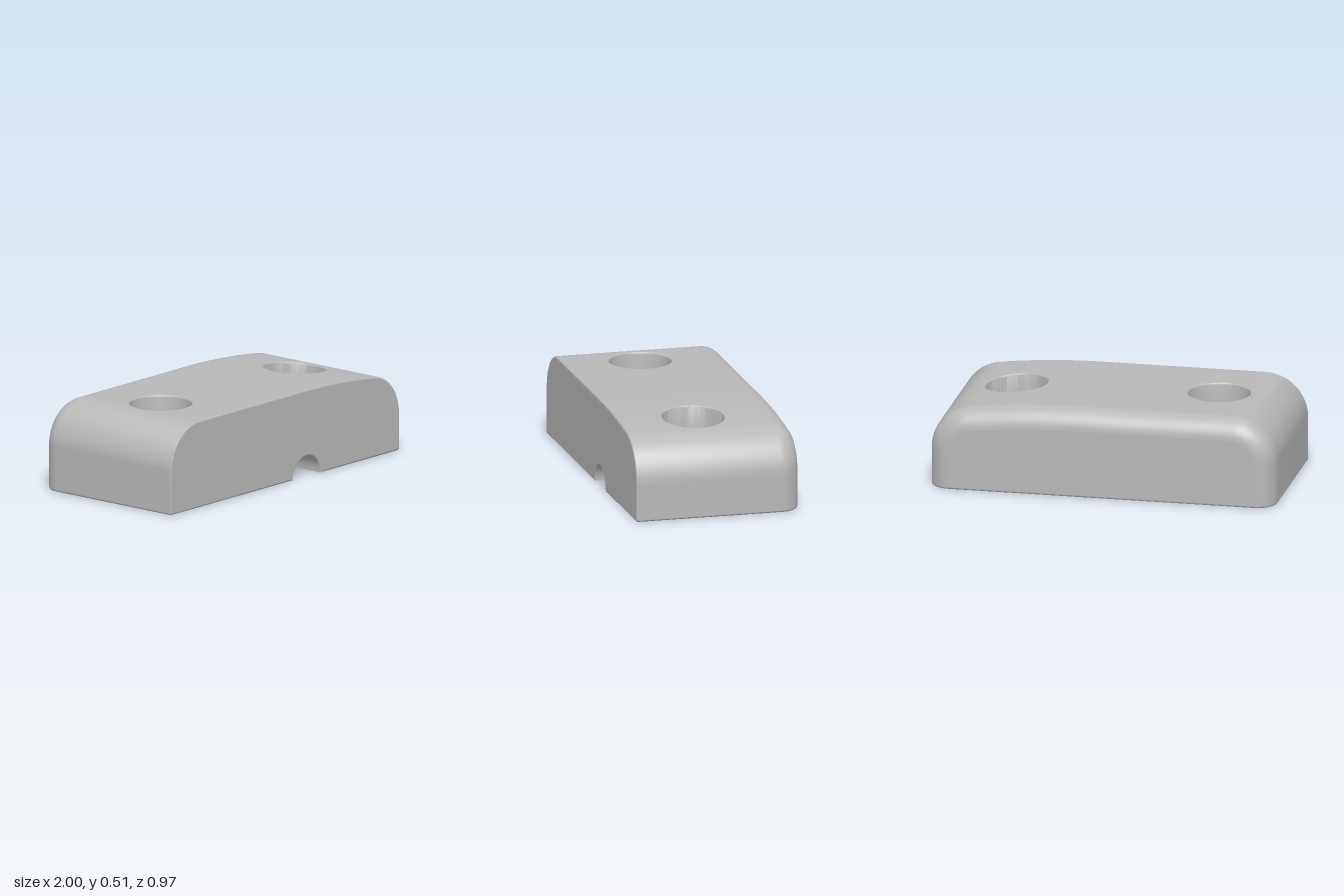
import * as THREE from 'three';
import { toCreasedNormals } from 'three/addons/utils/BufferGeometryUtils.js';

const H = 0.507, FRONT = 0.485, BACK = -0.485;
const EDGE = 0.01;            // small edge rounding
const ROUND = 0.117;          // large rounding around the back
const R = 0.25;               // end shoulder radius
const BIG = 4.43, X0 = 0.2;   // gentle slope of the top
const SPLIT = 0.85;           // where top patches meet the shoulders
const A = Math.asin((1 - R - X0) / (BIG - R));
const XE = X0 + BIG * Math.sin(A);
const YC = H - BIG * (1 - Math.cos(A)) - R * Math.cos(A);
const NOTCH = { x: 0.19, r: 0.12, z: 0.19 };
const HOLES = [
  { x: -0.575, z: 0.047, x0: -SPLIT, x1: X0 },
  { x: 0.597, z: 0.047, x0: X0, x1: SPLIT },
];
const BORE = 0.187, THROUGH = 0.122, FLOOR = 0.315;

// height of the top at x
function topY(x) {
  if (x < R - 1) return H - R + Math.sqrt(Math.max(0, R * R - (x + 1 - R) ** 2));
  if (x < X0) return H;
  if (x < XE) return H - BIG + Math.sqrt(BIG * BIG - (x - X0) ** 2);
  return YC + Math.sqrt(Math.max(0, R * R - (x - 1 + R) ** 2));
}

// surface through rows of points; its normal is row direction x column direction
function grid(rows) {
  const n = rows[0].length, idx = [];
  for (let i = 0; i < rows.length - 1; i++) {
    for (let j = 0; j < n - 1; j++) {
      const a = i * n + j, b = a + 1, c = a + n, d = c + 1;
      idx.push(a, c, b, b, c, d);
    }
  }
  const g = new THREE.BufferGeometry();
  g.setAttribute('position', new THREE.Float32BufferAttribute(rows.flat(2), 3));
  g.setIndex(idx);
  return toCreasedNormals(g, 0.6);
}

// points with outward normals along an arc of the profile
function arc(cx, cy, r, a0, a1, n) {
  return Array.from({ length: n + 1 }, (_, i) => {
    const a = a0 + (a1 - a0) * i / n, nx = Math.cos(a), ny = Math.sin(a);
    return { x: cx + r * nx, y: cy + r * ny, nx, ny };
  });
}

export function createModel() {
  const group = new THREE.Group();
  const grey = new THREE.MeshStandardMaterial({ color: 0xb8b8b8 });
  grey.name = 'grey';
  const add = (name, geometry) => {
    const m = new THREE.Mesh(geometry, grey);
    m.name = name;
    group.add(m);
    return m;
  };

  // end profile, from the bottom at +x over the top to the bottom at -x
  const cut = Math.acos((SPLIT - 1 + R) / R), half = Math.PI / 2;
  const right = [
    { x: 1, y: EDGE, nx: 1, ny: 0 }, { x: 1, y: YC - 0.004, nx: 1, ny: 0 },
    ...arc(1 - R, YC, R, 0, cut, 12),
  ];
  const top = [
    ...arc(1 - R, YC, R, cut, half - A, 6),
    ...arc(X0, H - BIG, BIG, half - A, half, 14).slice(1),
    ...arc(R - 1, H - R, R, half, Math.PI - cut, 6),
  ];
  const left = [
    ...arc(R - 1, H - R, R, Math.PI - cut, Math.PI, 12),
    { x: -1, y: H - R - 0.004, nx: -1, ny: 0 }, { x: -1, y: EDGE, nx: -1, ny: 0 },
  ];
  const profile = [...right, ...top.slice(1, -1), ...left];

  // depth stations: inset and plan normal at each z
  const rounding = (r, z, sign, n) => Array.from({ length: n + 1 }, (_, i) => {
    const t = half * i / n;
    return { z: z + sign * r * Math.sin(t), d: r * (1 - Math.cos(t)), nx: Math.cos(t), nz: sign * Math.sin(t) };
  });
  const frontEdge = rounding(EDGE, FRONT - EDGE, 1, 4).reverse();
  const backEdge = rounding(ROUND, BACK + ROUND, -1, 12);
  const stations = [
    ...frontEdge,
    { z: FRONT - EDGE - 0.004, d: 0, nx: 1, nz: 0 },
    { z: BACK + ROUND + 0.004, d: 0, nx: 1, nz: 0 },
    ...backEdge,
  ];
  const inset = (pts, d) => pts.map(p => [p.x - d * p.nx, p.y - d * p.ny]);
  const loft = (pts, st) => grid(st.map(s => inset(pts, s.d).map(([x, y]) => [x, y, s.z])));

  add('leftEnd', loft(right, stations));
  add('rightEnd', loft(left, stations));
  add('frontTopEdge', loft(top, frontEdge));
  add('backTopEdge', loft(top, backEdge));

  // top patches running down into the stepped screw holes
  const z0 = BACK + ROUND, z1 = FRONT - EDGE, N = 32;
  for (const h of HOLES) {
    const corners = [[h.x1, z0], [h.x1, z1], [h.x0, z1], [h.x0, z0], [h.x1, z0]];
    const border = [corners[0]];
    for (let k = 0; k < 4; k++) {
      for (let i = 1; i <= N; i++) {
        border.push([0, 1].map(c => corners[k][c] + (corners[k + 1][c] - corners[k][c]) * i / N));
      }
    }
    const ring = border.map(([x, z]) => {
      const a = Math.atan2(z - h.z, x - h.x);
      return [Math.cos(a), Math.sin(a)];
    });
    const rimY = ring.map(([c]) => topY(h.x + BORE * c));
    const circle = (r, y) => ring.map(([c, s], j) => [h.x + r * c, y(j), h.z + r * s]);
    const surface = [];
    for (let i = 0; i <= 12; i++) {
      const t = i / 12;
      surface.push(border.map(([bx, bz], j) => {
        const x = bx + (h.x + BORE * ring[j][0] - bx) * t;
        const z = bz + (h.z + BORE * ring[j][1] - bz) * t;
        return [x, topY(x), z];
      }));
    }
    add('topSurface', grid(surface));
    const wall = [];
    for (let i = 0; i <= 4; i++) {
      const t = half * i / 4;
      wall.push(circle(BORE - EDGE * Math.sin(t), j => rimY[j] - EDGE * (1 - Math.cos(t))));
    }
    wall.push(circle(BORE - EDGE, () => FLOOR), circle(THROUGH, () => FLOOR), circle(THROUGH, () => 0));
    add('screwHole', grid(wall));
  }

  // rounded bottom edge around the plan outline, open at the notch
  const flare = NOTCH.r + EDGE;
  const plan = [
    { x: NOTCH.x + flare, z: FRONT, nx: 0, nz: 1 },
    ...stations.map(s => ({ x: 1 - s.d, z: s.z, nx: s.nx, nz: s.nz })),
    ...stations.map(s => ({ x: s.d - 1, z: s.z, nx: -s.nx, nz: s.nz })).reverse(),
    { x: NOTCH.x - flare, z: FRONT, nx: 0, nz: 1 },
  ];
  const edgeRows = [0, 1, 2, 3, 4].map(i => {
    const t = half * i / 4, d = EDGE * (1 - Math.cos(t)), y = EDGE * (1 - Math.sin(t));
    return plan.map(p => [p.x - d * p.nx, y, p.z - d * p.nz]);
  });
  add('bottomEdge', grid(edgeRows));

  // flat faces
  const shape = pts => new THREE.Shape(pts.map(([x, y]) => new THREE.Vector2(x, y)));
  const arch = Array.from({ length: 33 }, (_, i) => {
    const a = Math.PI * (1 - i / 32);
    return [Math.cos(a), Math.sin(a)];
  });
  const frontShape = shape([
    ...inset(profile, EDGE),
    ...arch.map(([c, s]) => [NOTCH.x + flare * c, Math.max(EDGE, flare * s)]),
  ]);
  add('frontFace', new THREE.ShapeGeometry(frontShape)).position.z = FRONT;

  const backFace = add('backFace', new THREE.ShapeGeometry(shape(inset(profile, ROUND).map(([x, y]) => [-x, y]))));
  backFace.rotation.y = Math.PI;
  backFace.position.z = BACK;

  const nl = NOTCH.x - NOTCH.r, nr = NOTCH.x + NOTCH.r;
  const bottomShape = shape([
    ...plan.map(p => [p.x - EDGE * p.nx, p.z - EDGE * p.nz]),
    [nl, FRONT - EDGE], [nl, NOTCH.z], [nr, NOTCH.z], [nr, FRONT - EDGE],
  ]);
  for (const h of HOLES) {
    bottomShape.holes.push(new THREE.Path().absarc(h.x, h.z, THROUGH, 0, Math.PI * 2, true));
  }
  add('bottomFace', new THREE.ShapeGeometry(bottomShape, 48)).rotation.x = half;

  // arched notch under the front
  const notchRows = frontEdge.map(s => [s.z, NOTCH.r + s.d]);
  notchRows.push([NOTCH.z, NOTCH.r]);
  add('notch', grid(notchRows.map(([z, r]) => arch.map(([c, s]) => [NOTCH.x + r * c, r * s, z]))));
  add('notchEnd', new THREE.CircleGeometry(NOTCH.r, 32, 0, Math.PI)).position.set(NOTCH.x, 0, NOTCH.z);

  return group;
}
